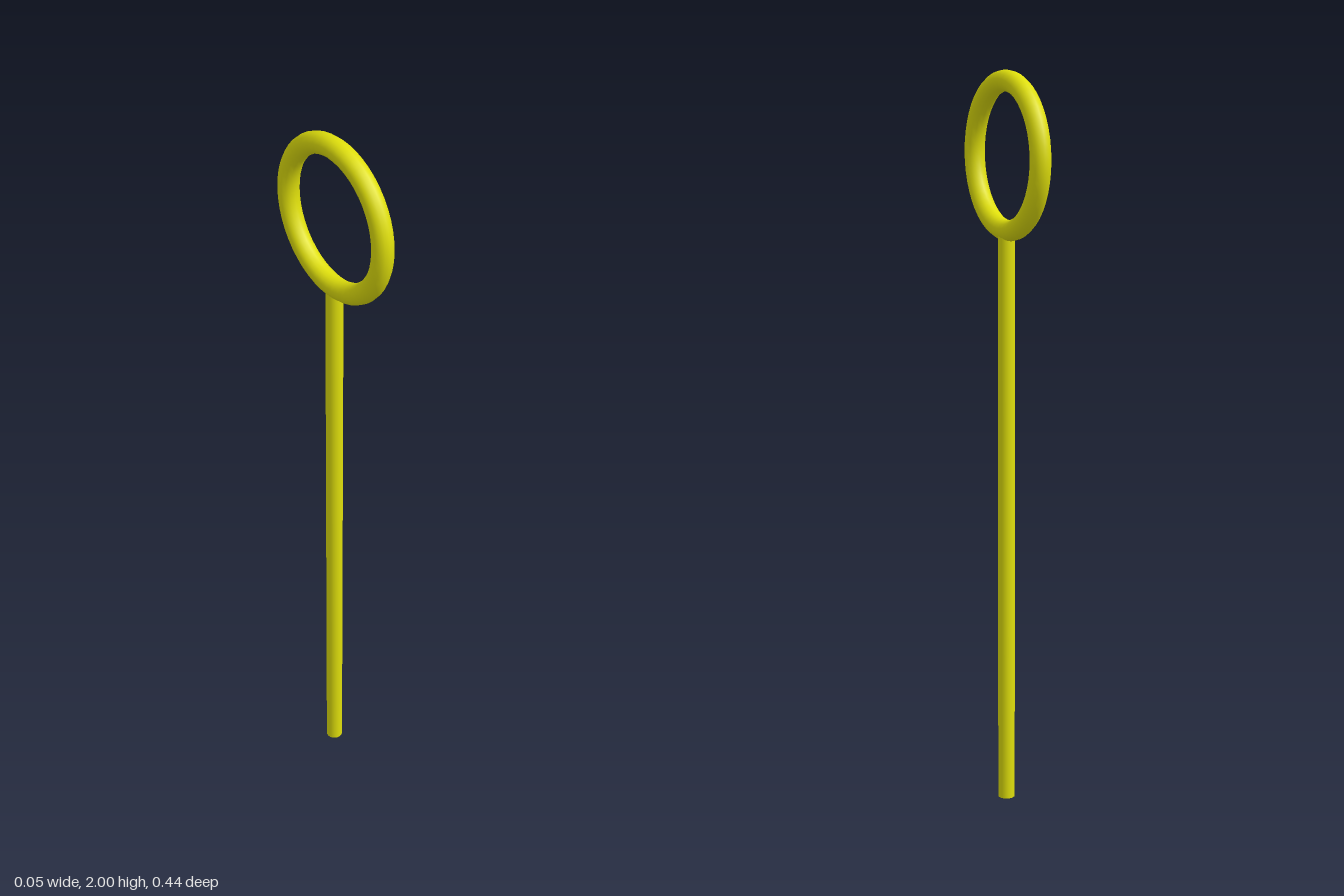
import * as THREE from 'three';

export function createModel() {
  const group = new THREE.Group();
  const yellow = new THREE.MeshStandardMaterial({ color: 0xdede0c });
  yellow.name = 'yellow';

  const ringRadius = 0.193;
  const tubeRadius = 0.028;
  const ringY = 2 - ringRadius - tubeRadius;
  const rodHeight = ringY - ringRadius;

  // Straight handle, ending inside the ring's tube
  const rod = new THREE.Mesh(new THREE.CylinderGeometry(0.023, 0.023, rodHeight, 24), yellow);
  rod.name = 'rod';
  rod.position.y = rodHeight / 2;
  group.add(rod);

  // Upright ring, facing sideways
  const ring = new THREE.Mesh(new THREE.TorusGeometry(ringRadius, tubeRadius, 14, 48), yellow);
  ring.name = 'ring';
  ring.rotation.y = Math.PI / 2;
  ring.position.y = ringY;
  group.add(ring);

  return group;
}
